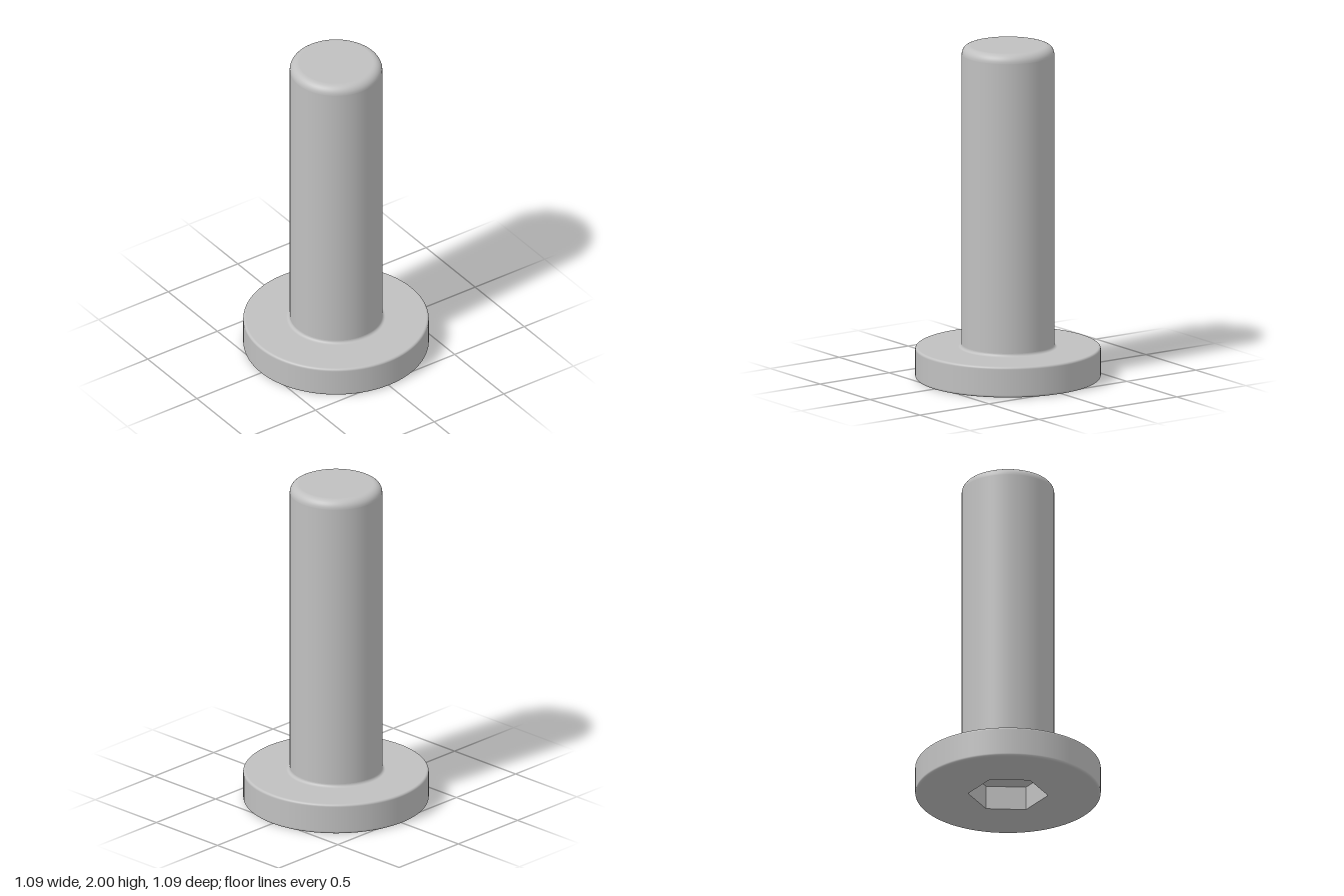
import * as THREE from 'three';

const HEAD_R = 0.545, HEAD_H = 0.185, SHAFT_R = 0.272, TOP = 2;
const EDGE = 0.014, TOP_EDGE = 0.05, NECK = 0.018;
const HEX_R = 0.235, HEX_DEPTH = 0.145, SIDES = 96;

// Points of a fillet arc in the lathe profile
function arc(cx, cy, r, from, to, steps = 8) {
  const pts = [];
  for (let i = 0; i <= steps; i++) {
    const a = THREE.MathUtils.degToRad(from + ((to - from) * i) / steps);
    pts.push(new THREE.Vector2(cx + r * Math.cos(a), cy + r * Math.sin(a)));
  }
  return pts;
}

export function createModel() {
  const group = new THREE.Group();
  group.name = 'socketBolt';
  const steel = new THREE.MeshStandardMaterial({ color: 0xc0c0c0 });
  steel.name = 'steelGrey';

  const add = (name, geometry) => {
    const mesh = new THREE.Mesh(geometry, steel);
    mesh.name = name;
    group.add(mesh);
  };
  const lathe = (pts) => new THREE.LatheGeometry(pts, SIDES);
  const v = (x, y) => new THREE.Vector2(x, y);
  const e = 0.003; // extra rings beside the fillets keep flat areas evenly shaded

  // Head: rounded rim, flat shoulder and neck fillet
  const rim = HEAD_R - EDGE;
  const neck = SHAFT_R + NECK;
  add('head', lathe([
    ...arc(rim, EDGE, EDGE, -90, 0),
    v(HEAD_R, EDGE + e), v(HEAD_R, HEAD_H - EDGE - e),
    ...arc(rim, HEAD_H - EDGE, EDGE, 0, 90),
    v(rim - e, HEAD_H), v(neck + e, HEAD_H),
    ...arc(neck, HEAD_H + NECK, NECK, 270, 180),
  ]));

  // Shaft with rounded end
  const end = SHAFT_R - TOP_EDGE;
  add('shaft', lathe([
    v(SHAFT_R, HEAD_H + NECK), v(SHAFT_R, TOP - TOP_EDGE - e),
    ...arc(end, TOP - TOP_EDGE, TOP_EDGE, 0, 90),
    v(end - e, TOP), v(0, TOP),
  ]));

  // Underside of the head with the hexagonal opening
  const face = new THREE.Shape().absarc(0, 0, rim, 0, Math.PI * 2);
  const hex = [];
  for (let i = 0; i < 6; i++) {
    const a = Math.PI / 2 + (i * Math.PI) / 3;
    hex.push(v(HEX_R * Math.cos(a), HEX_R * Math.sin(a)));
  }
  face.holes.push(new THREE.Path(hex));
  add('headUnderside', new THREE.ShapeGeometry(face, SIDES).rotateX(Math.PI / 2));

  // Socket walls, mirrored so that they face inward
  const walls = new THREE.CylinderGeometry(HEX_R, HEX_R, HEX_DEPTH, 6, 1, true)
    .scale(1, 1, -1).translate(0, HEX_DEPTH / 2, 0).toNonIndexed();
  walls.computeVertexNormals();
  add('socketWalls', walls);

  // Socket floor
  add('socketFloor', new THREE.CircleGeometry(HEX_R, 6, Math.PI / 2)
    .rotateX(Math.PI / 2).translate(0, HEX_DEPTH, 0));

  return group;
}
